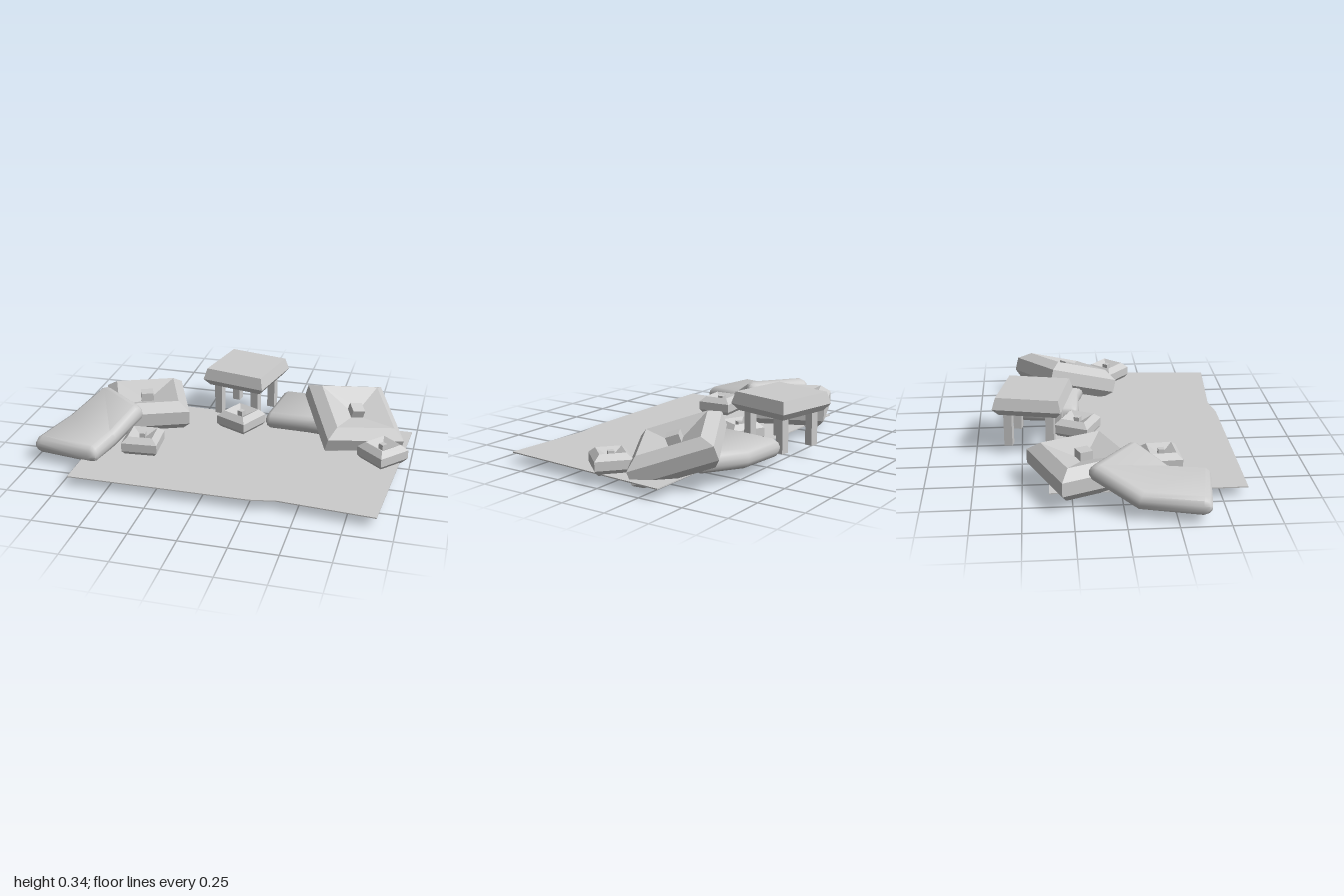
import * as THREE from 'three';
import { toCreasedNormals } from 'three/addons/utils/BufferGeometryUtils.js';

const grey = new THREE.MeshStandardMaterial({ color: 0xcccccc });
const flat = new THREE.MeshStandardMaterial({ color: 0xcccccc, flatShading: true });

function add(parent, name, geometry, material = flat) {
  const mesh = new THREE.Mesh(geometry, material);
  mesh.name = name;
  parent.add(mesh);
  return mesh;
}

// Square solid from a profile of [half width, height], listed from bottom to top
function squareStack(profile) {
  const pts = profile.map(([r, y]) => new THREE.Vector2(r * Math.SQRT2, y));
  return new THREE.LatheGeometry(pts, 4, Math.PI / 4);
}

// Bevelled square cushion with a dimpled top and a button in the middle
function cushion(name, size, height, bevel, button) {
  const h = size / 2;
  const g = new THREE.Group();
  g.name = name;
  add(g, 'cushionBody', squareStack([
    [0, 0], [h - bevel * 0.7, 0], [h, height * 0.27], [h, height * 0.72],
    [h - bevel, height], [button / 2, height * 0.7], [0, height * 0.7],
  ]));
  const b = add(g, 'cushionButton', new THREE.BoxGeometry(button, height * 0.34, button));
  b.position.y = height * 0.81;
  return g;
}

// Long bent seat pad swept through three stations: [centre, direction across]
function seatPad(stations) {
  const c = stations.map(s => new THREE.Vector3(...s[0]));
  const across = stations.map(s => new THREE.Vector3(s[1][0], 0, s[1][1]).normalize());
  const w = 0.19, h = 0.05, e = 0.035;
  const right = [[w - e, -h], [w - e * 0.3, -h * 0.72], [w, -h * 0.25],
    [w, h * 0.25], [w - e * 0.3, h * 0.72], [w - e, h]];
  const profile = [...right, ...right.map(([x, y]) => [-x, -y])];
  const rings = [[0, 0.9, 0.4], [0.04, 0.97, 0.75], [0.12, 1, 1], [1, 1, 1],
    [1.88, 1, 1], [1.96, 0.97, 0.75], [2, 0.9, 0.4]];
  const n = profile.length, pos = [], index = [];
  rings.forEach(([t, sw, sh], i) => {
    const k = Math.min(1, Math.floor(t)), f = t - k;
    const p = c[k].clone().lerp(c[k + 1], f);
    const a = across[k].clone().lerp(across[k + 1], f).normalize();
    const dir = t === 1 ? c[2].clone().sub(c[0]) : c[k + 1].clone().sub(c[k]);
    const up = a.clone().cross(dir).normalize();
    for (const [x, y] of profile) {
      const v = p.clone().addScaledVector(a, x * sw).addScaledVector(up, y * sh);
      pos.push(v.x, v.y, v.z);
    }
    if (i === 0) return;
    for (let j = 0; j < n; j++) {
      const a0 = (i - 1) * n + j, a1 = (i - 1) * n + (j + 1) % n;
      index.push(a0, a0 + n, a1 + n, a0, a1 + n, a1);
    }
  });
  // End caps
  const last = (rings.length - 1) * n;
  for (let j = 1; j < n - 1; j++) {
    index.push(0, j, j + 1, last, last + j + 1, last + j);
  }
  const g = new THREE.BufferGeometry();
  g.setAttribute('position', new THREE.Float32BufferAttribute(pos, 3));
  g.setIndex(index);
  return toCreasedNormals(g, 0.75);
}

export function createModel() {
  const model = new THREE.Group();
  model.name = 'floorSeatingSet';

  // Rug
  const outline = [[-0.71, -0.365], [0.98, -0.345], [0.905, 0.645],
    [0.4, 0.605], [0.26, 0.63], [-0.71, 0.63]];
  const shape = new THREE.Shape(outline.map(([x, z]) => new THREE.Vector2(x, -z)));
  const rug = add(model, 'rug', new THREE.ExtrudeGeometry(shape, { depth: 0.006, bevelEnabled: false }));
  rug.rotation.x = -Math.PI / 2;
  rug.position.y = 0.062;

  // Low table
  const table = new THREE.Group();
  table.name = 'table';
  table.position.set(-0.007, 0, -0.432);
  table.rotation.y = -0.215;
  add(table, 'tableTop', squareStack([
    [0, 0.25], [0.158, 0.25], [0.187, 0.288], [0.17, 0.352], [0, 0.352],
  ]));
  for (const x of [-1, 1]) for (const z of [-1, 1]) {
    const leg = add(table, 'tableLeg', new THREE.BoxGeometry(0.045, 0.19, 0.045));
    leg.position.set(x * 0.115, 0.157, z * 0.115);
  }
  model.add(table);

  // Cushions lying flat: name, size, height, bevel, button, x, z, turn
  for (const [name, size, height, bevel, button, x, z, turn] of [
    ['largeCushion', 0.444, 0.165, 0.055, 0.07, -0.54, -0.183, 0.393],
    ['smallCushion', 0.195, 0.105, 0.03, 0.032, -0.43, 0.222, 0.08],
    ['smallCushion', 0.197, 0.105, 0.03, 0.032, 0.022, -0.19, -0.46],
    ['smallCushion', 0.192, 0.105, 0.03, 0.032, 0.855, 0.03, -0.72],
  ]) {
    const c = cushion(name, size, height, bevel, button);
    c.position.set(x, 0.06, z);
    c.rotation.y = turn;
    model.add(c);
  }

  // Large cushion leaning over the back seat pad
  const leaning = cushion('leaningCushion', 0.444, 0.165, 0.055, 0.07);
  const up = new THREE.Vector3(0, 1, 0);
  const normal = new THREE.Vector3(0.284, 1, 0.246).normalize();
  leaning.quaternion.setFromUnitVectors(up, normal)
    .multiply(new THREE.Quaternion().setFromAxisAngle(up, 0.47));
  leaning.position.set(0.636, 0.095, -0.255);
  model.add(leaning);

  // Bent seat pads
  add(model, 'leftSeatPad', seatPad([
    [[-0.81, 0.1, 0.427], [0.99, 0.13]],
    [[-0.752, 0.105, 0.15], [0.886, 0.463]],
    [[-0.628, 0.215, -0.06], [0.777, 0.63]],
  ]), grey);
  add(model, 'backSeatPad', seatPad([
    [[0.18, 0.112, -0.37], [-0.1, 0.99]],
    [[0.442, 0.115, -0.353], [-0.22, 0.97]],
    [[0.68, 0.14, -0.27], [-0.5, 0.86]],
  ]), grey);

  return model;
}
